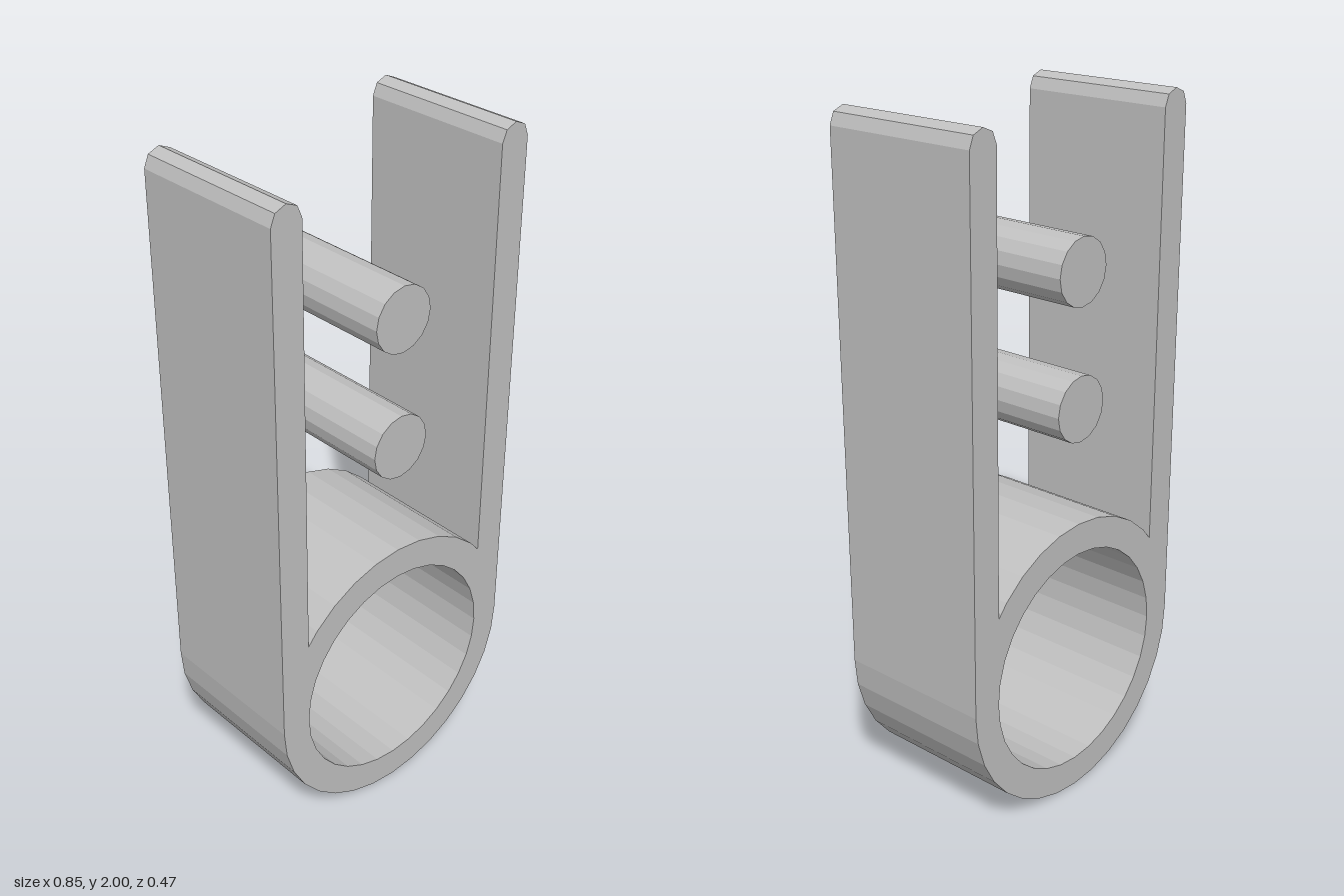
import * as THREE from 'three';

const DEPTH = 0.474;       // z size shared by all parts
const CY = 0.428;          // ring centre height
const OUTER = 0.427, INNER = 0.335;
const LEG_X = 0.38, LEG_R = 0.047;

// Points along an arc, angles in steps of 2*pi/sides
function arc(cx, cy, r, sides, from, to) {
  const points = [];
  const dir = Math.sign(to - from);
  for (let k = from; k !== to + dir; k += dir) {
    const a = (k / sides) * Math.PI * 2;
    points.push(new THREE.Vector2(cx + r * Math.cos(a), cy + r * Math.sin(a)));
  }
  return points;
}

export function createModel() {
  const group = new THREE.Group();
  group.name = 'ringBracket';
  const grey = new THREE.MeshStandardMaterial({ color: 0xc0c0c0, flatShading: true });
  grey.name = 'light grey';

  const addExtrusion = (name, shape) => {
    const geometry = new THREE.ExtrudeGeometry(shape, { depth: DEPTH, bevelEnabled: false, curveSegments: 1 });
    geometry.translate(0, 0, -DEPTH / 2);
    const mesh = new THREE.Mesh(geometry, grey);
    mesh.name = name;
    group.add(mesh);
  };

  // Ring with two upright arms, as one outline with a round hole
  const capY = 2 - LEG_R;
  const cornerX = LEG_X - LEG_R, cornerY = CY + 0.265;
  const body = new THREE.Shape([
    ...arc(0, CY, OUTER, 32, 16, 32),
    ...arc(LEG_X, capY, LEG_R, 8, 0, 4),
    new THREE.Vector2(cornerX, cornerY),
    ...arc(0, CY, OUTER, 32, 4, 12),
    new THREE.Vector2(-cornerX, cornerY),
    ...arc(-LEG_X, capY, LEG_R, 8, 0, 4),
  ]);
  body.holes.push(new THREE.Path(arc(0, CY, INNER, 32, 31, 0)));
  addExtrusion('ringAndArms', body);

  // Two round pins floating between the arms
  [['lowerPin', 1.195], ['upperPin', 1.575]].forEach(([name, y]) => {
    addExtrusion(name, new THREE.Shape(arc(0, y, 0.095, 16, 0, 15)));
  });

  return group;
}
